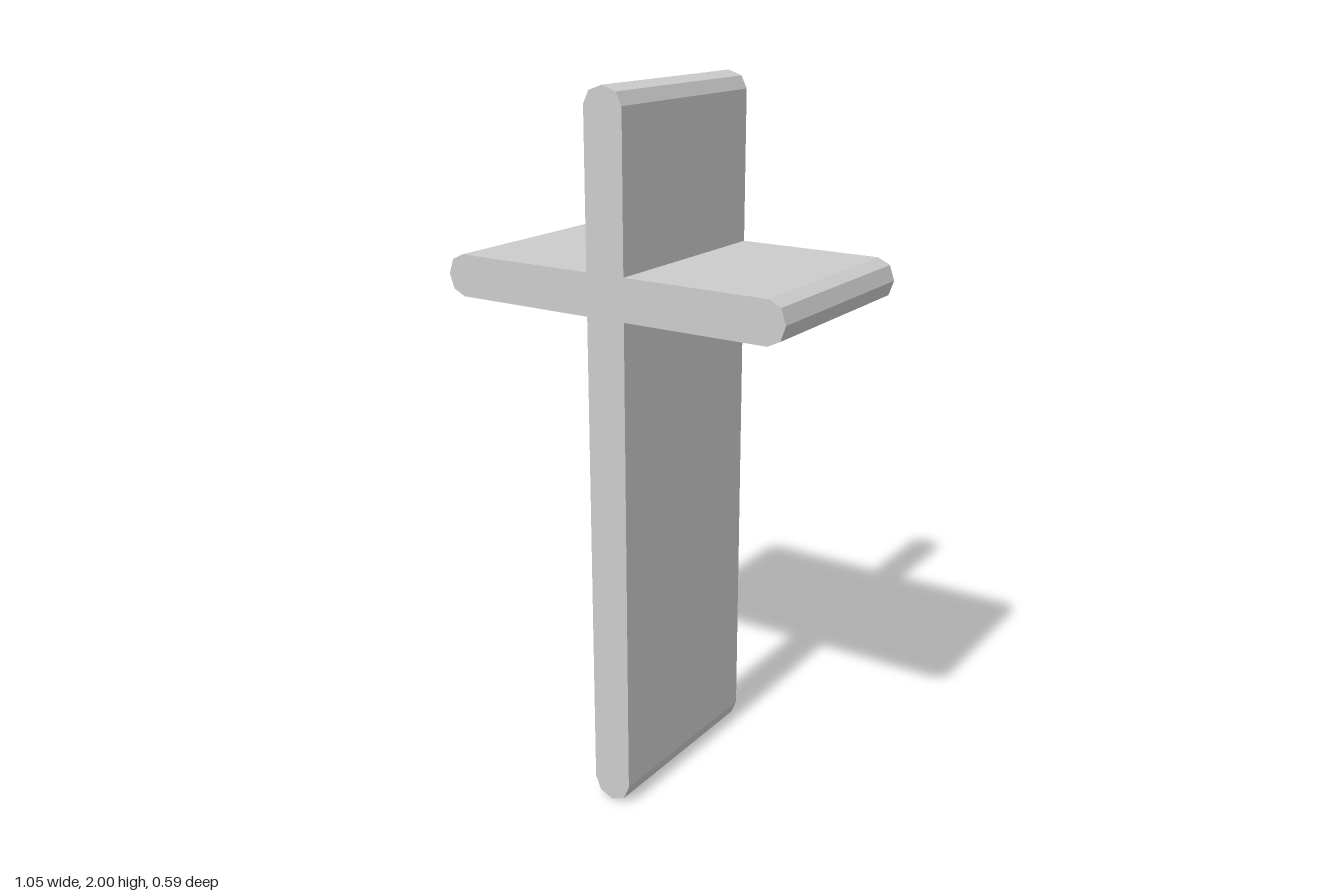
import * as THREE from 'three';

const HALF = 0.058;  // half thickness of every bar
const DEPTH = 0.588; // front to back
const MID = 1.474;   // height of the crossbar

// One arm's faceted rounded end: five points, counter-clockwise about the tip
function armEnd(angle, length, cap) {
  const points = [];
  for (let i = 0; i <= 4; i++) {
    const t = -Math.PI / 2 + (i * Math.PI) / 4;
    const p = new THREE.Vector2(length - cap + cap * Math.cos(t), HALF * Math.sin(t));
    p.rotateAround(new THREE.Vector2(), angle);
    p.y += MID;
    points.push(p);
  }
  return points;
}

// Inner corner between an arm and the next one
function innerCorner(angle) {
  const p = new THREE.Vector2(HALF, HALF).rotateAround(new THREE.Vector2(), angle);
  p.y += MID;
  return p;
}

export function createModel() {
  const group = new THREE.Group();
  const grey = new THREE.MeshStandardMaterial({ color: 0xcccccc });
  grey.name = 'light grey';

  // Arm lengths and cap depths: left, top, right, bottom
  const arms = [[0.526, 0.05], [2 - MID, 0.048], [0.526, 0.05], [MID, 0.058]];
  const outline = [];
  arms.forEach(([length, cap], i) => {
    const angle = (i * Math.PI) / 2;
    outline.push(...armEnd(angle, length, cap), innerCorner(angle));
  });

  // Cross profile extruded straight through; side facets stay flat
  const geometry = new THREE.ExtrudeGeometry(new THREE.Shape(outline), {
    depth: DEPTH, bevelEnabled: false, steps: 1,
  });
  geometry.translate(0, 0, -DEPTH / 2);
  const cross = new THREE.Mesh(geometry, grey);
  cross.name = 'cross';
  group.add(cross);
  return group;
}
